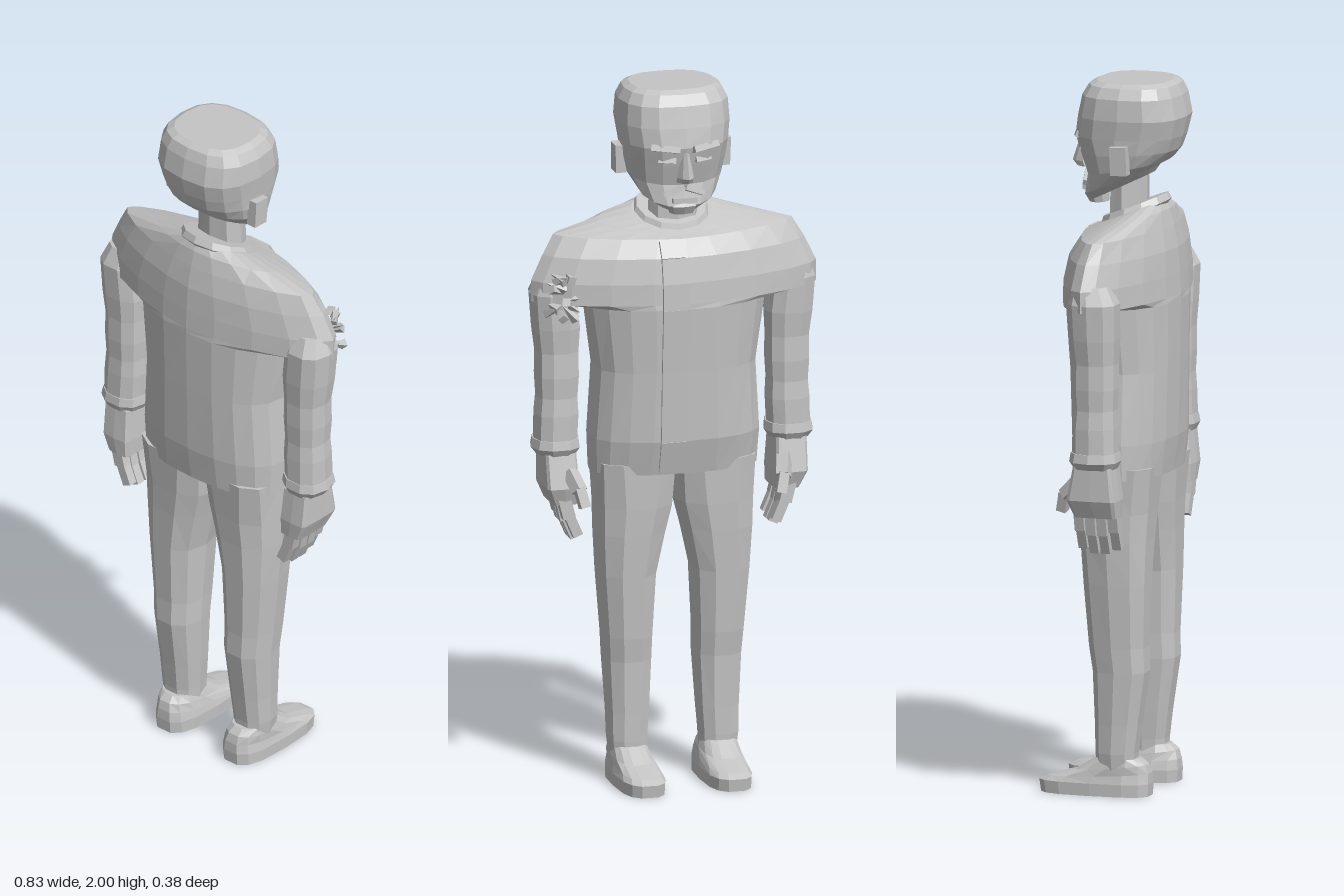
import * as THREE from 'three';

// Horizontal cross-section: [y, centre x, half width, back z, front z, roundness, tilt]
function ring([y, cx, w, zb, zf, p = 2.4, tilt = 0], n) {
  const mid = (zb + zf) / 2, half = (zb - zf) / 2, pts = [];
  const pow = v => Math.sign(v) * Math.pow(Math.abs(v), 2 / p);
  for (let i = 0; i < n; i++) {
    const a = (i / n) * Math.PI * 2;
    const dz = -half * pow(Math.sin(a));
    pts.push([cx + w * pow(Math.cos(a)), y + tilt * dz, mid + dz]);
  }
  return pts;
}

// Skin a stack of cross-sections, listed from bottom to top, with closed ends
function loft(sections, n = 12) {
  const rings = sections.map(s => ring(s, n)), out = [];
  const tri = (a, b, c) => out.push(...a, ...b, ...c);
  const centre = r => [0, 1, 2].map(k => r.reduce((s, q) => s + q[k], 0) / n);
  const low = rings[0], high = rings[rings.length - 1];
  const cl = centre(low), ch = centre(high);
  for (let i = 0; i < n; i++) {
    const j = (i + 1) % n;
    for (let k = 0; k + 1 < rings.length; k++) {
      tri(rings[k][i], rings[k][j], rings[k + 1][j]);
      tri(rings[k][i], rings[k + 1][j], rings[k + 1][i]);
    }
    tri(cl, low[j], low[i]);
    tri(ch, high[i], high[j]);
  }
  const g = new THREE.BufferGeometry();
  g.setAttribute('position', new THREE.Float32BufferAttribute(out, 3));
  g.computeVertexNormals();
  return g;
}

// Box stretched between two points
function bar(a, b, w, d) {
  const A = new THREE.Vector3(...a), B = new THREE.Vector3(...b);
  const dir = B.clone().sub(A), len = dir.length();
  const g = new THREE.BoxGeometry(w, len, d).toNonIndexed();
  const q = new THREE.Quaternion().setFromUnitVectors(new THREE.Vector3(0, 1, 0), dir.normalize());
  g.applyQuaternion(q);
  const m = A.add(B).multiplyScalar(0.5);
  return g.translate(m.x, m.y, m.z);
}

// Copy on the other side of x = 0, with the corner order restored
function mirrored(geo) {
  const g = geo.clone(), p = g.attributes.position;
  for (let i = 0; i < p.count; i += 3) {
    const t = [0, 1, 2].map(k => [-p.getX(i + k), p.getY(i + k), p.getZ(i + k)]);
    p.setXYZ(i, ...t[0]);
    p.setXYZ(i + 1, ...t[2]);
    p.setXYZ(i + 2, ...t[1]);
  }
  g.computeVertexNormals();
  return g;
}

export function createModel() {
  const model = new THREE.Group();
  const grey = new THREE.MeshStandardMaterial({ color: 0xc4c4c4, flatShading: true });
  grey.name = 'plain grey';
  const add = (name, geo) => {
    const m = new THREE.Mesh(geo, grey);
    m.name = name;
    model.add(m);
    return m;
  };
  const pair = (name, geo) => {
    add(name + 'Left', geo);
    add(name + 'Right', mirrored(geo));
  };

  // Jacket: boxy body, then wide lens-shaped shoulders
  add('jacket', loft([
    [0.90, 0, 0.24, 0.152, -0.088, 2.5],
    [1.00, 0, 0.245, 0.165, -0.115, 2.4],
    [1.20, 0, 0.232, 0.17, -0.125, 2.4],
    [1.385, 0, 0.26, 0.173, -0.138, 2.2],
    [1.40, 0, 0.412, 0.173, -0.138, 1.6],
    [1.46, 0, 0.412, 0.17, -0.135, 1.6],
    [1.53, 0, 0.378, 0.165, -0.122, 1.6],
    [1.585, 0, 0.345, 0.152, -0.092, 1.5, 0.06],
    [1.612, 0, 0.215, 0.14, -0.07, 1.8, 0.25],
    [1.63, 0, 0.115, 0.125, -0.05, 2, 0.4],
  ], 20));

  // Front placket
  const front = [[0.91, -0.09], [1.0, -0.113], [1.2, -0.123], [1.385, -0.136], [1.46, -0.133], [1.53, -0.12], [1.575, -0.092]];
  for (let i = 0; i + 1 < front.length; i++) {
    const [y0, z0] = front[i], [y1, z1] = front[i + 1];
    add('placket', bar([0.035, y0, z0], [0.035, y1, z1], 0.075, 0.009));
  }

  // Collar and neck
  add('collar', loft([
    [1.60, 0, 0.09, 0.12, -0.04, 2, 0.4],
    [1.622, 0, 0.112, 0.14, -0.058, 2, 0.42],
    [1.645, 0, 0.10, 0.13, -0.05, 2, 0.4],
  ]));
  add('neck', loft([[1.59, 0, 0.075, 0.075, -0.03], [1.79, 0, 0.065, 0.075, -0.03]], 8));

  // Head with sloping jaw
  add('head', loft([
    [1.695, 0, 0.075, 0.092, -0.085, 2.2, 0.48],
    [1.715, 0, 0.112, 0.105, -0.10, 2.2, 0.42],
    [1.755, 0, 0.135, 0.14, -0.088, 2.3, 0.2],
    [1.80, 0, 0.146, 0.165, -0.108, 2.3, 0.05],
    [1.845, 0, 0.15, 0.178, -0.122, 2.5],
    [1.90, 0, 0.157, 0.19, -0.113, 2.6],
    [1.96, 0, 0.153, 0.178, -0.10, 2.6],
    [1.99, 0, 0.137, 0.165, -0.082, 2.6],
    [2.00, 0, 0.118, 0.145, -0.062, 2.6],
  ], 16));

  // Face
  add('nose', loft([
    [1.745, 0, 0.026, -0.07, -0.132, 1.5],
    [1.76, 0, 0.024, -0.07, -0.145, 1.5],
    [1.83, 0, 0.012, -0.08, -0.122, 1.5],
  ], 8));
  pair('brow', bar([0.018, 1.84, -0.12], [0.095, 1.847, -0.092], 0.018, 0.022));
  pair('eye', bar([0.028, 1.808, -0.11], [0.075, 1.81, -0.093], 0.016, 0.01));
  pair('moustache', bar([0, 1.728, -0.098], [0.055, 1.705, -0.085], 0.016, 0.022));
  add('lowerLip', bar([-0.035, 1.69, -0.094], [0.035, 1.69, -0.094], 0.014, 0.02));
  add('chin', loft([[1.648, 0, 0.035, -0.04, -0.092], [1.672, 0, 0.045, -0.04, -0.106], [1.685, 0, 0.03, -0.04, -0.095]], 8));
  pair('ear', bar([0.15, 1.75, 0.045], [0.152, 1.83, 0.042], 0.03, 0.048));

  // Sleeves, with soft folds, and flared cuffs
  pair('sleeve', loft([
    [0.985, 0.337, 0.062, 0.102, -0.026],
    [1.07, 0.334, 0.064, 0.10, -0.026],
    [1.12, 0.333, 0.06, 0.097, -0.022],
    [1.18, 0.333, 0.064, 0.10, -0.026],
    [1.25, 0.333, 0.063, 0.099, -0.024],
    [1.32, 0.336, 0.07, 0.104, -0.032],
    [1.42, 0.345, 0.068, 0.106, -0.036],
    [1.47, 0.342, 0.05, 0.08, -0.025],
  ], 10));
  pair('cuff', loft([
    [0.955, 0.336, 0.056, 0.098, -0.022],
    [0.975, 0.337, 0.07, 0.108, -0.034],
    [1.00, 0.336, 0.066, 0.104, -0.03],
  ], 10));

  // Hands: palm, four bent fingers and a thumb
  pair('palm', loft([
    [0.815, 0.32, 0.036, 0.103, -0.022, 7],
    [0.865, 0.33, 0.048, 0.106, -0.04, 7],
    [0.96, 0.333, 0.046, 0.095, -0.02, 7],
  ], 12));
  for (let i = 0; i < 4; i++) {
    const z = 0.087 - i * 0.033, drop = i === 0 || i === 3 ? 0.012 : 0;
    pair('fingerBase', bar([0.328, 0.84, z], [0.312, 0.765 + drop, z], 0.036, 0.028));
    pair('fingerTip', bar([0.313, 0.775 + drop, z], [0.286, 0.712 + drop, z], 0.028, 0.026));
  }
  pair('thumbBase', bar([0.31, 0.91, -0.02], [0.295, 0.865, -0.066], 0.034, 0.032));
  pair('thumbTip', bar([0.296, 0.875, -0.066], [0.283, 0.82, -0.078], 0.028, 0.028));

  // Torn cloth at the front of the left shoulder
  let seed = 7;
  const rnd = () => (seed = (seed * 16807) % 2147483647) / 2147483647;
  for (let i = 0; i < 14; i++) {
    const g = new THREE.ConeGeometry(0.016, 0.06, 4);
    g.rotateX(rnd() * 6).rotateZ(rnd() * 6);
    g.translate(0.30 + rnd() * 0.08, 1.35 + rnd() * 0.14, -0.025 - rnd() * 0.045);
    add('tornCloth', g);
  }

  // Trouser legs
  pair('trouserLeg', loft([
    [0.075, 0.13, 0.054, 0.088, -0.025],
    [0.12, 0.132, 0.058, 0.09, -0.028],
    [0.20, 0.13, 0.062, 0.10, -0.03],
    [0.35, 0.13, 0.07, 0.122, -0.036],
    [0.42, 0.132, 0.073, 0.12, -0.046],
    [0.60, 0.135, 0.086, 0.126, -0.06],
    [0.72, 0.126, 0.104, 0.13, -0.07],
    [0.80, 0.117, 0.116, 0.135, -0.076],
    [0.93, 0.115, 0.12, 0.145, -0.08, 3],
  ], 10));

  // Shoes
  pair('shoe', loft([
    [0.00, 0.125, 0.064, 0.128, -0.19, 3],
    [0.035, 0.125, 0.065, 0.13, -0.195, 3],
    [0.055, 0.125, 0.06, 0.128, -0.172, 2.8, 0.06],
    [0.078, 0.128, 0.056, 0.12, -0.09, 2.6, 0.1],
    [0.105, 0.13, 0.05, 0.10, -0.03, 2.4],
  ], 14));

  return model;
}
